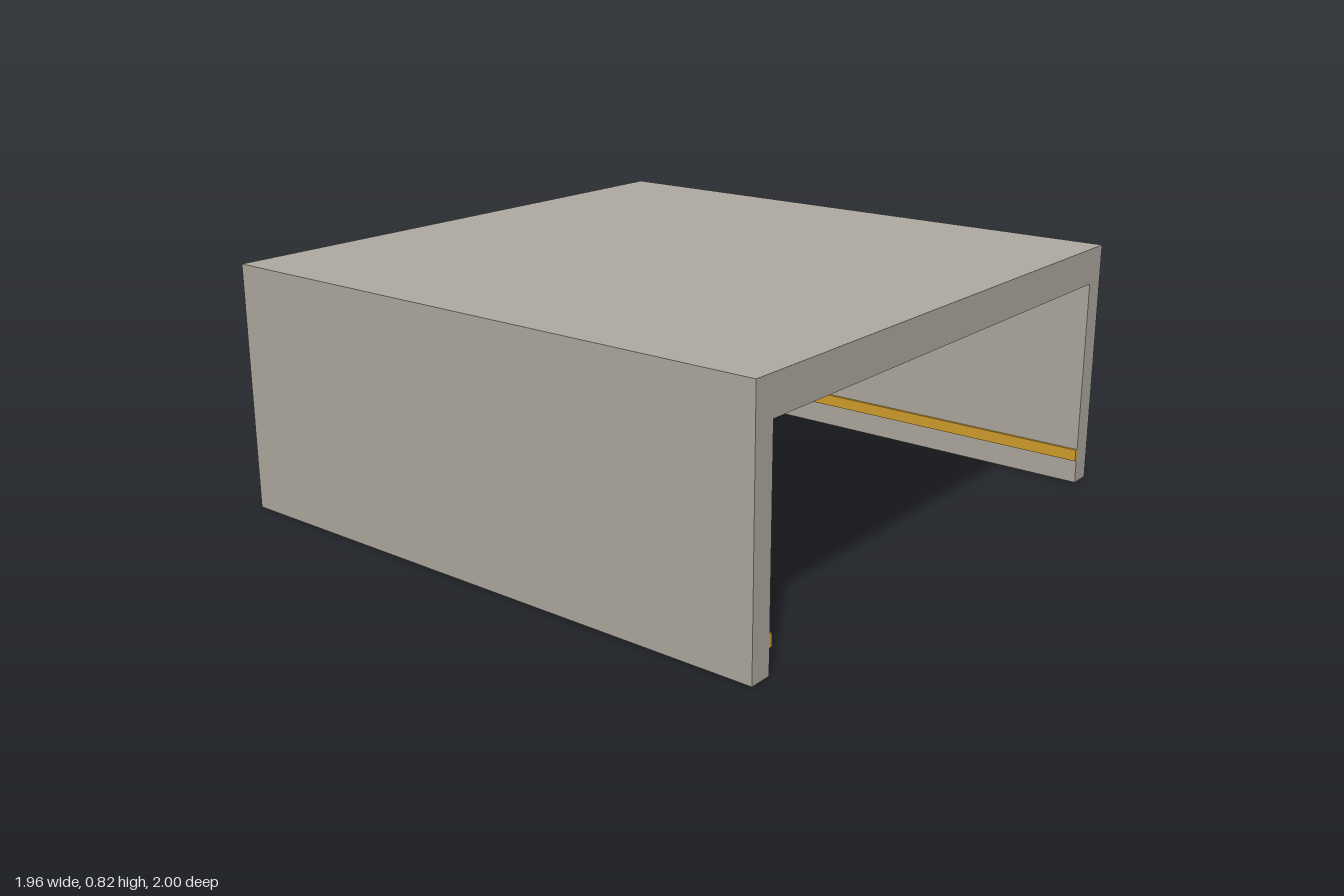
import * as THREE from 'three';

export function createModel() {
  const model = new THREE.Group();
  model.name = 'tunnelSection';
  const concrete = new THREE.MeshStandardMaterial({ name: 'concrete', color: 0xb0aba2 });
  const yellow = new THREE.MeshStandardMaterial({ name: 'safetyYellow', color: 0xd6a02c });
  const lampGrey = new THREE.MeshStandardMaterial({ name: 'lampGrey', color: 0xaeaca6 });

  const outer = 0.978, inner = 0.903, height = 0.82, ceiling = 0.70, depth = 2;

  // Roof slab and both walls as one U-shaped section
  const section = new THREE.Shape([
    [-outer, 0], [-inner, 0], [-inner, ceiling], [inner, ceiling],
    [inner, 0], [outer, 0], [outer, height], [-outer, height],
  ].map(([x, y]) => new THREE.Vector2(x, y)));
  const shellGeometry = new THREE.ExtrudeGeometry(section, { depth, bevelEnabled: false });
  shellGeometry.translate(0, 0, -depth / 2);
  const shell = new THREE.Mesh(shellGeometry, concrete);
  shell.name = 'wallsAndRoof';
  model.add(shell);

  // A thin block standing proud of an inner wall
  function wallBlock(name, material, side, y, z, tall, long) {
    const proud = 0.01;
    const mesh = new THREE.Mesh(new THREE.BoxGeometry(proud, tall, long), material);
    mesh.name = name;
    mesh.position.set(side * (inner - proud / 2), y, z);
    model.add(mesh);
  }

  for (const side of [-1, 1]) {
    const label = side < 0 ? 'right' : 'left';
    // Guide stripe along the foot of the wall
    wallBlock(label + 'Stripe', yellow, side, 0.1, 0, 0.04, depth);
    // Wall lamps
    [-0.6, 0, 0.6].forEach((z, i) =>
      wallBlock(label + 'Lamp' + (i + 1), lampGrey, side, 0.58, z, 0.025, 0.12));
  }
  return model;
}
